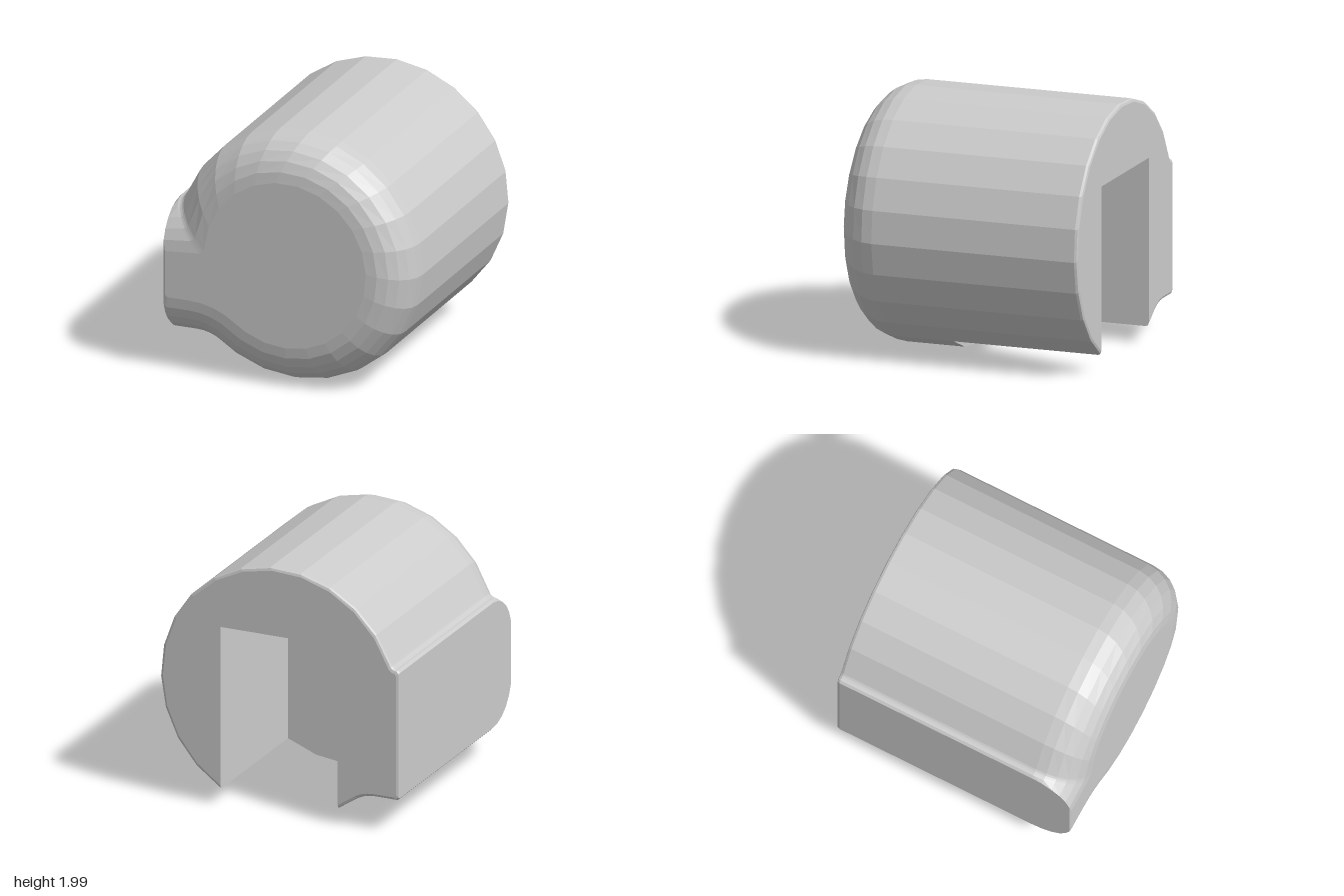
import * as THREE from 'three';

const R = 0.995, CY = 0.995;             // main barrel radius and centre height
const LOW = 0.27, HIGH = 1.32;           // side block bottom and top
const SLOT_X = 0.49, SLOT_TOP = 1.44, SLOT_Z = 0.2;
const ROUND = 0.33, BEVEL = 0.025;

// points on an arc, both ends included
function arc(cx, cy, r, a, b, n) {
  return Array.from({ length: n + 1 }, (_, i) => {
    const t = a + (b - a) * i / n;
    return new THREE.Vector2(cx + r * Math.cos(t), cy + r * Math.sin(t));
  });
}

const slotAngle = r => Math.asin(SLOT_X / r);
const slotArc = (r, n = 4) =>
  arc(0, CY, r, -Math.PI / 2 - slotAngle(R), -Math.PI / 2 + slotAngle(R), n);

// barrel plus side block, inset by d; the flat side is inset by e
function outline(d, e, slotted) {
  const r = R - d, low = LOW + d, high = HIGH - d, left = -1 + e;
  // lower blend, tangent to barrel and block
  const rb = 0.3, by = LOW - rb;
  const bx = -Math.sqrt((R + rb) ** 2 - (CY - by) ** 2);
  const bAngle = Math.atan2(CY - by, -bx);
  // small upper blend
  const rt = 0.06, ty = high + rt;
  const tx = -Math.sqrt((r + rt) ** 2 - (ty - CY) ** 2);
  const tAngle = Math.atan2(CY - ty, -tx);

  const s = slotAngle(slotted ? r : R), down = -Math.PI / 2;
  const middle = slotted
    ? [new THREE.Vector2(-SLOT_X, SLOT_TOP), new THREE.Vector2(SLOT_X, SLOT_TOP)]
    : slotArc(r).slice(1, -1);
  return [
    ...arc(0, CY, r, bAngle - Math.PI, down - s, 1),
    ...middle,
    ...arc(0, CY, r, down + s, tAngle + Math.PI, 15),
    ...arc(tx, ty, rt, tAngle, down, 4).slice(1),
    new THREE.Vector2(left, high - 0.02),
    new THREE.Vector2(left, low + 0.02),
    new THREE.Vector2(left + 0.02, low),
    ...arc(bx, by, rb + d, Math.PI / 2, bAngle, 4).slice(0, -1),
  ];
}

// skin between outlines stacked along z
function loft(sections) {
  const n = sections[0].pts.length, pos = [], idx = [];
  sections.forEach(({ pts, z }) => pts.forEach(p => pos.push(p.x, p.y, z)));
  for (let i = 0; i < sections.length - 1; i++) {
    for (let j = 0; j < n; j++) {
      const a = i * n + j, b = i * n + (j + 1) % n;
      idx.push(a, b, b + n, a, b + n, a + n);
    }
  }
  const g = new THREE.BufferGeometry();
  g.setAttribute('position', new THREE.Float32BufferAttribute(pos, 3));
  g.setIndex(idx);
  const flat = g.toNonIndexed();
  flat.computeVertexNormals();
  return flat;
}

// flat face closing an outline
function cap(pts, z, facesBack) {
  const g = new THREE.ShapeGeometry(new THREE.Shape(pts));
  g.translate(0, 0, z);
  if (facesBack) {
    g.index.array.reverse();
    g.computeVertexNormals();
  }
  return g;
}

export function createModel() {
  const group = new THREE.Group();
  group.name = 'slottedBarrel';
  const material = new THREE.MeshStandardMaterial({ color: 0xcccccc, flatShading: true });
  const add = (name, geometry) => {
    const mesh = new THREE.Mesh(geometry, material);
    mesh.name = name;
    group.add(mesh);
  };

  // rear body with the slot open at the bottom and back
  const back = outline(BEVEL, BEVEL, true);
  add('slottedBody', loft([
    { pts: back, z: -1 },
    { pts: outline(0.007, 0.007, true), z: -0.993 },
    { pts: outline(0, 0, true), z: -1 + BEVEL },
    { pts: outline(0, 0, true), z: SLOT_Z },
  ]));
  add('backFace', cap(back, -1, true));

  // wall at the end of the slot
  add('slotEndWall', cap([
    ...slotArc(R),
    new THREE.Vector2(SLOT_X, SLOT_TOP),
    new THREE.Vector2(-SLOT_X, SLOT_TOP),
  ], SLOT_Z, true));

  // solid nose with a rounded front edge
  const nose = [{ pts: outline(0, 0, false), z: SLOT_Z }];
  const steps = 6;
  for (let i = 0; i <= steps; i++) {
    const t = i / steps * Math.PI / 2;
    nose.push({
      pts: outline(ROUND * (1 - Math.cos(t)), i === steps ? 0.015 : 0, false),
      z: 1 - ROUND + ROUND * Math.sin(t),
    });
  }
  add('roundedNose', loft(nose));
  add('frontFace', cap(nose[nose.length - 1].pts, 1, false));

  return group;
}
